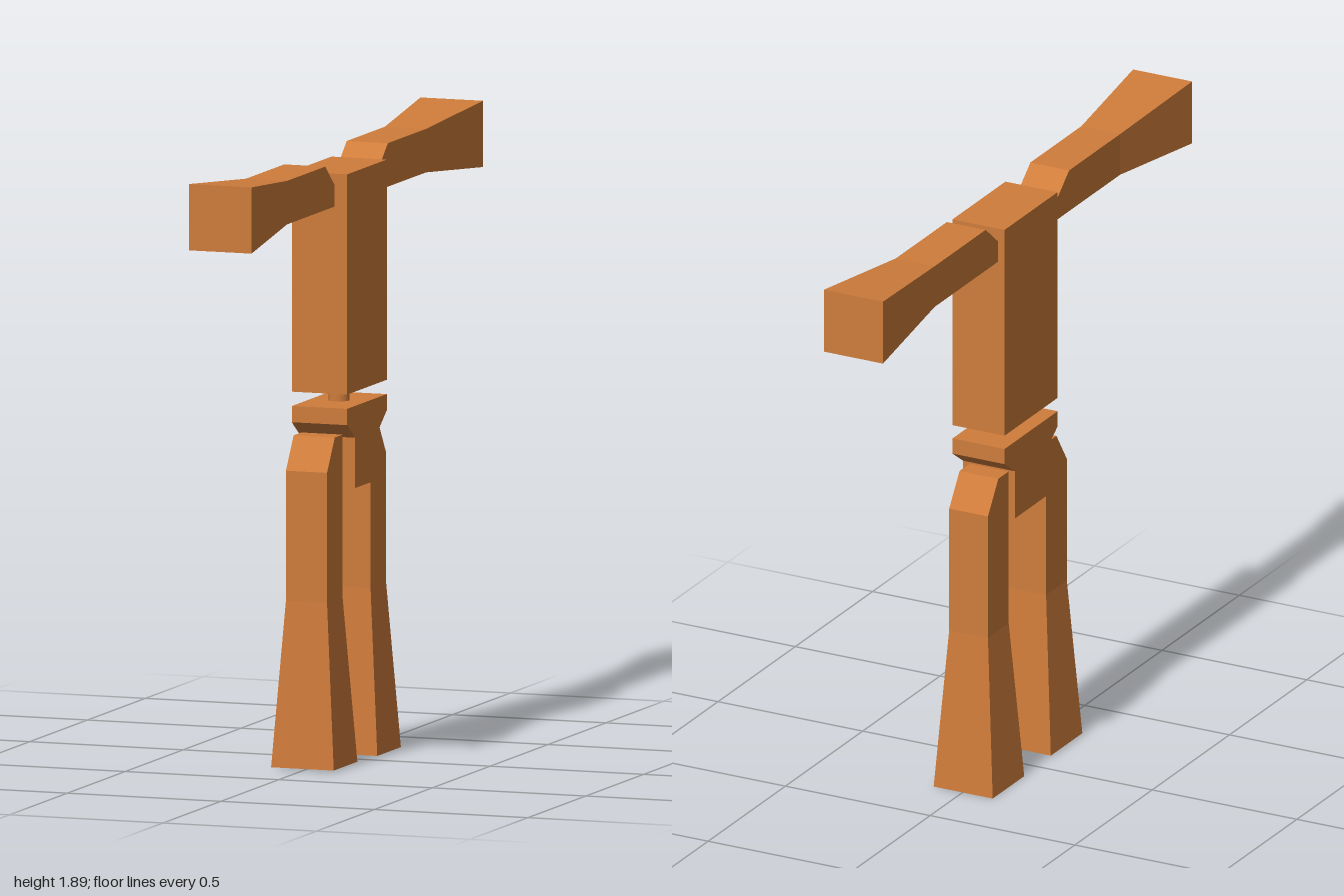
import * as THREE from 'three';

const wood = new THREE.MeshStandardMaterial({ color: 0xcf7c3b });
wood.name = 'orange wood';

function part(name, geometry, x, y, z) {
  const mesh = new THREE.Mesh(geometry, wood);
  mesh.name = name;
  mesh.position.set(x, y, z);
  return mesh;
}

// Square limb standing on its flared end; the +z side is bevelled at the joint end.
function limbGeometry(length, flareEnd, bevel) {
  const h = 0.067, f = 0.102;
  const sections = [ // height, back z, front z, half width
    [0, -f, f, f],
    [flareEnd, -h, h, h],
    [length - bevel, -h, h, h],
    [length, -h, 0, h],
  ];
  const points = [], index = [];
  for (const [y, z0, z1, w] of sections) points.push(-w, y, z1, w, y, z1, w, y, z0, -w, y, z0);
  for (let s = 0; s < sections.length - 1; s++) {
    for (let i = 0; i < 4; i++) {
      const a = s * 4 + i, b = s * 4 + (i + 1) % 4;
      index.push(a, b, b + 4, a, b + 4, a + 4);
    }
  }
  const t = (sections.length - 1) * 4;
  index.push(0, 3, 2, 0, 2, 1, t, t + 1, t + 2, t, t + 2, t + 3);
  const indexed = new THREE.BufferGeometry();
  indexed.setAttribute('position', new THREE.Float32BufferAttribute(points, 3));
  indexed.setIndex(index);
  const geometry = indexed.toNonIndexed();
  geometry.computeVertexNormals();
  return geometry;
}

export function createModel() {
  const model = new THREE.Group();
  model.name = 'figure';

  // Torso block and waist pin
  model.add(part('torso', new THREE.BoxGeometry(0.18, 0.678, 0.343), 0.01, 1.486, 0.003));
  model.add(part('waistPin', new THREE.CylinderGeometry(0.033, 0.033, 0.06, 32), 0.008, 1.125, 0.003));

  // T-shaped pelvis, drawn as (z, y) and extruded across x
  const outline = [
    [-0.1, 0.85], [0.105, 0.85], [0.105, 1.005], [0.175, 1.053],
    [0.175, 1.103], [-0.168, 1.103], [-0.168, 1.053], [-0.1, 1.005],
  ].map(([z, y]) => new THREE.Vector2(z, y));
  const pelvis = new THREE.ExtrudeGeometry(new THREE.Shape(outline), { depth: 0.18, bevelEnabled: false });
  pelvis.rotateY(-Math.PI / 2);
  model.add(part('pelvis', pelvis, 0.1, 0, 0));

  // One arm and one leg on each side, the second side turned half round
  const armShape = limbGeometry(0.81, 0.4, 0.08);
  const legShape = limbGeometry(1.01, 0.51, 0.1);
  for (const side of ['front', 'back']) {
    const limbs = new THREE.Group();
    limbs.name = side + 'Limbs';
    const arm = part(side + 'Arm', armShape, 0, 1.793, 1);
    arm.rotation.x = -Math.PI / 2;
    const leg = part(side + 'Leg', legShape, 0, side === 'front' ? 0.005 : 0, 0.188);
    limbs.add(arm, leg);
    limbs.position.x = -0.002;
    if (side === 'back') limbs.rotation.y = Math.PI;
    model.add(limbs);
  }
  return model;
}
